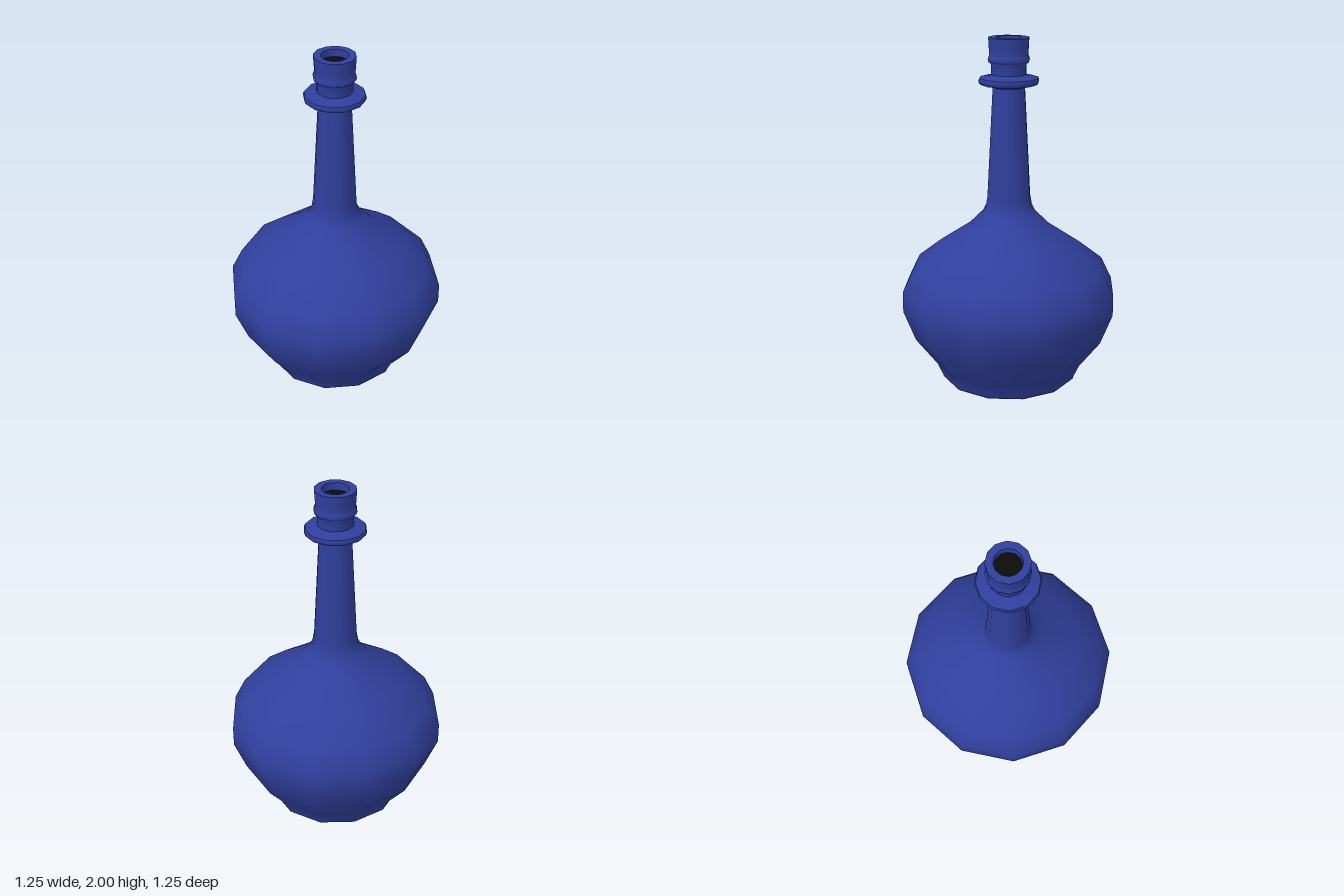
import * as THREE from 'three';

const SIDES = 12;

export function createModel() {
  const group = new THREE.Group();
  const blue = new THREE.MeshStandardMaterial({ color: 0x2f3f9c });
  blue.name = 'blue glass';
  const black = new THREE.MeshStandardMaterial({ color: 0x0b0b0c });
  black.name = 'dark opening';

  // Revolve a profile of [radius, height] pairs; smooth within one profile
  const turn = (name, profile) => {
    const points = profile.map(([r, y]) => new THREE.Vector2(r, y));
    const mesh = new THREE.Mesh(new THREE.LatheGeometry(points, SIDES), blue);
    mesh.name = name;
    group.add(mesh);
  };

  // Underside and rounded foot
  turn('base', [[0, 0], [0.36, 0], [0.38, 0.005]]);
  // Bulbous body flowing into the tapered neck
  turn('bodyAndNeck', [
    [0.38, 0.005], [0.393, 0.015], [0.4, 0.035], [0.43, 0.1], [0.553, 0.26],
    [0.623, 0.44], [0.623, 0.56], [0.56, 0.69], [0.42, 0.8], [0.235, 0.925],
    [0.155, 1.005], [0.135, 1.045], [0.125, 1.1], [0.094, 1.69], [0.092, 1.725],
  ]);
  // Flange around the neck
  turn('collarUnderside', [[0.092, 1.725], [0.105, 1.738], [0.155, 1.74]]);
  turn('collarEdge', [[0.155, 1.74], [0.168, 1.748], [0.173, 1.765], [0.167, 1.778]]);
  turn('collarTop', [[0.167, 1.778], [0.11, 1.787], [0.1, 1.797]]);
  // Mouth with a small bead
  turn('mouth', [
    [0.1, 1.797], [0.1, 1.855], [0.115, 1.866], [0.119, 1.88], [0.115, 1.895],
    [0.11, 1.905], [0.112, 1.93], [0.116, 2],
  ]);
  turn('rim', [[0.116, 2], [0.075, 2]]);
  turn('mouthInside', [[0.075, 2], [0.072, 1.955]]);

  // Dark disc closing the opening
  const opening = new THREE.Mesh(new THREE.CircleGeometry(0.073, SIDES), black);
  opening.name = 'opening';
  opening.rotation.x = -Math.PI / 2;
  opening.position.y = 1.96;
  group.add(opening);

  return group;
}
